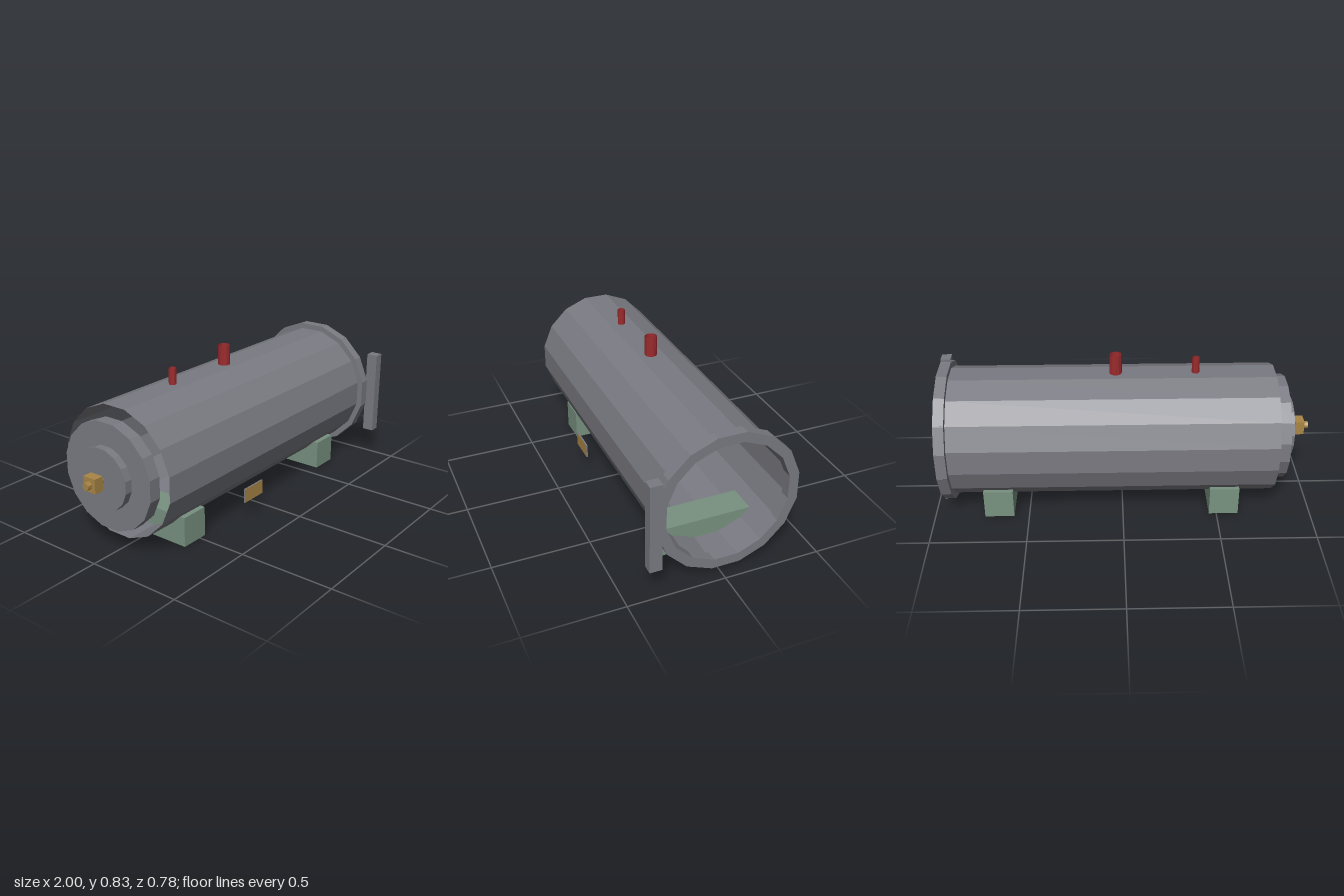
import * as THREE from 'three';

const SIDES = 16;
const CY = 0.3925, CZ = -0.0275; // axis of the vessel

function material(name, color) {
  const m = new THREE.MeshStandardMaterial({ color, flatShading: true, side: THREE.DoubleSide });
  m.name = name;
  return m;
}

export function createModel() {
  const steel = material('steel grey', 0x7a7b82);
  const green = material('support green', 0x789280);
  const red = material('pipe red', 0x9c2b2d);
  const brass = material('brass', 0xa98646);
  const model = new THREE.Group();
  model.name = 'pressureVessel';

  const add = (name, geometry, mat, parent = model) => {
    const mesh = new THREE.Mesh(geometry, mat);
    mesh.name = name;
    parent.add(mesh);
    return mesh;
  };

  // box given by its extents
  const box = (name, mat, x0, x1, y0, y1, z0, z1) =>
    add(name, new THREE.BoxGeometry(x1 - x0, y1 - y0, z1 - z0), mat)
      .position.set((x0 + x1) / 2, (y0 + y1) / 2, (z0 + z1) / 2);

  // prism lying along x, with a flat facet on top; r is measured to the facets
  const drum = (name, mat, x0, x1, r, open = false, sides = SIDES) => {
    const R = r / Math.cos(Math.PI / sides);
    const g = new THREE.CylinderGeometry(R, R, x1 - x0, sides, 1, open);
    g.rotateY(Math.PI / sides).rotateZ(Math.PI / 2);
    add(name, g, mat).position.set((x0 + x1) / 2, CY, CZ);
  };

  // upright open pipe
  const pipe = (name, mat, x, r, y0, y1) =>
    add(name, new THREE.CylinderGeometry(r, r, y1 - y0, 12, 1, true), mat)
      .position.set(x, (y0 + y1) / 2, CZ);

  // open shell and stepped rear head
  drum('shell', steel, -0.795, 0.895, 0.3325, true);
  drum('rearHead', steel, -0.86, -0.795, 0.2725);
  drum('rearCover', steel, -0.9, -0.86, 0.157);

  // door ring made of straight blocks
  const ring = new THREE.Group();
  ring.name = 'doorRing';
  ring.position.set(0.9175, CY, CZ);
  model.add(ring);
  for (let i = 0; i < SIDES; i++) {
    const a = (i / SIDES) * Math.PI * 2;
    const block = add('ringBlock', new THREE.BoxGeometry(0.055, 0.05, 0.147), steel, ring);
    block.position.set(0, Math.cos(a) * 0.3375, Math.sin(a) * 0.3375);
    block.rotation.x = a;
  }
  box('doorHinge', steel, 0.945, 1.0, 0.158, 0.625, 0.328, 0.39);

  // brass spindle and nut on the rear cover
  drum('spindle', brass, -1.0, -0.9, 0.018, false, 8);
  box('spindleNut', brass, -0.975, -0.925, CY - 0.037, CY + 0.037, CZ - 0.037, CZ + 0.037);

  // pipes on top and drain below
  pipe('mainPipe', red, 0.033, 0.032, 0.715, 0.83);
  pipe('smallPipe', red, -0.381, 0.02, 0.715, 0.808);
  pipe('drain', green, -0.381, 0.02, 0.005, 0.075);

  // saddles reaching into the shell
  for (const x of [-0.615, 0.58])
    box('saddle', green, x, x + 0.155, 0, 0.157, -0.285, 0.235);

  // name plate with a brass face
  box('namePlate', [steel, steel, steel, steel, brass, steel], -0.224, -0.072, 0.108, 0.184, 0.301, 0.309);

  return model;
}
